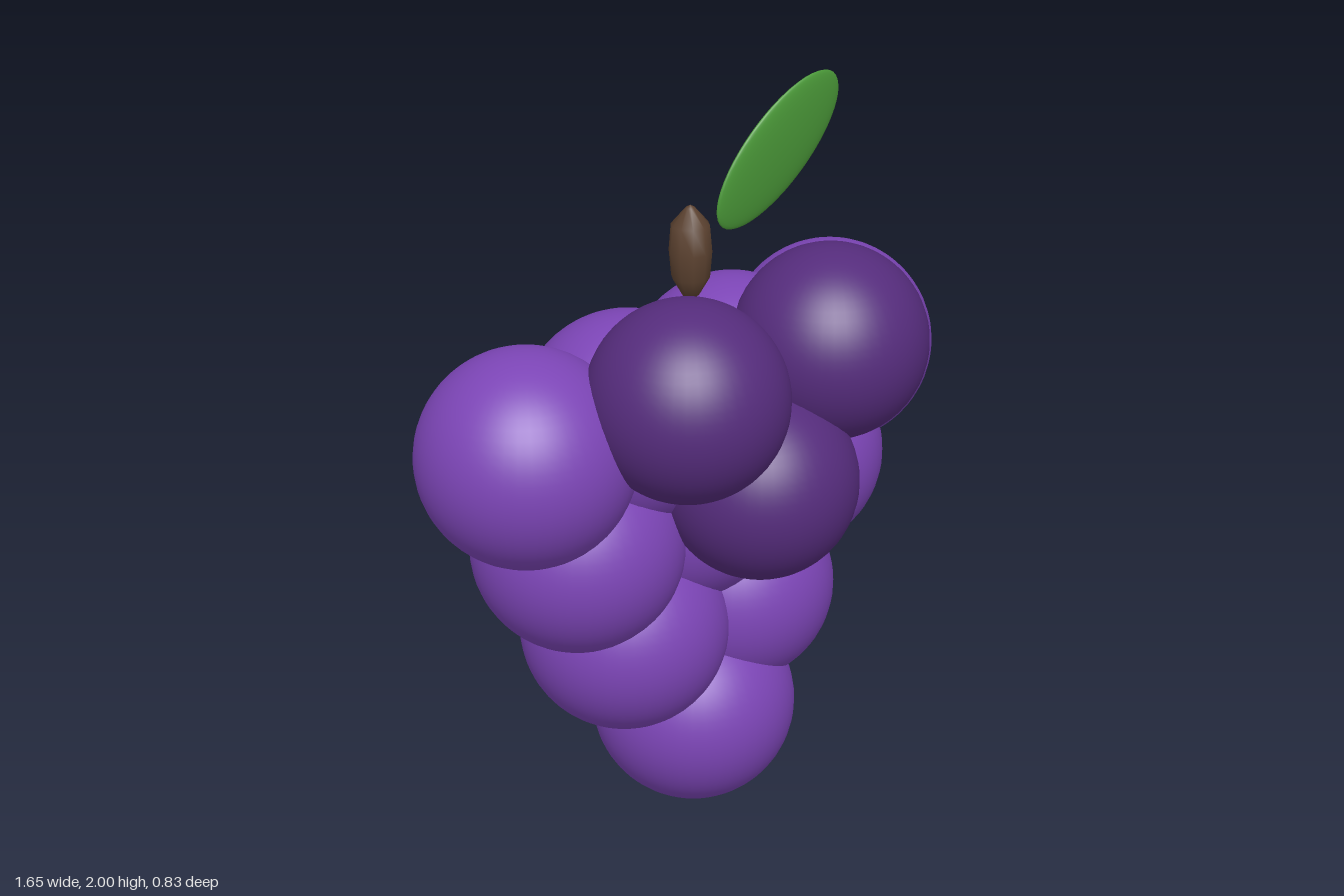
import * as THREE from 'three';

export function createModel() {
  const model = new THREE.Group();
  model.name = 'grapeBunch';

  const mat = (name, color) => {
    const m = new THREE.MeshStandardMaterial({ color });
    m.name = name;
    return m;
  };
  const purple = mat('grapePurple', 0x7c45b6);
  const darkPurple = mat('darkGrapePurple', 0x552c7c);
  const green = mat('leafGreen', 0x4a9838);
  const brown = mat('stemBrown', 0x5c4230);

  const addGrapes = (name, radius, material, centres) => {
    const geometry = new THREE.SphereGeometry(radius, 48, 32);
    const group = new THREE.Group();
    group.name = name;
    centres.forEach((c, i) => {
      const grape = new THREE.Mesh(geometry, material);
      grape.name = `${name}Grape${i + 1}`;
      grape.position.set(...c);
      group.add(grape);
    });
    model.add(group);
  };

  // Back layer: a triangle of four rows, widest at the top
  addGrapes('back', 0.278, purple, [
    [0.017, 0.278, -0.1],
    [-0.205, 0.588, -0.133], [0.175, 0.583, -0.108],
    [-0.363, 0.888, -0.133], [0.005, 0.9, -0.127], [0.37, 0.913, -0.115],
    [-0.548, 1.212, -0.107], [-0.195, 1.2, -0.118], [0.18, 1.195, -0.116], [0.545, 1.188, -0.103],
  ]);

  // Front layer: three smaller, darker grapes
  addGrapes('front', 0.255, darkPurple, [
    [-0.253, 1.357, 0.16], [0.259, 1.357, 0.16], [0.004, 1.047, 0.16],
  ]);

  // Stem: a short tapered stub
  const profile = [[0, -0.122], [0.022, -0.12], [0.05, -0.07], [0.056, 0], [0.05, 0.07], [0.012, 0.115], [0, 0.122]];
  const stem = new THREE.Mesh(
    new THREE.LatheGeometry(profile.map(([r, y]) => new THREE.Vector2(r, y)), 10), brown);
  stem.name = 'stem';
  stem.position.set(0.004, 1.607, -0.09);
  model.add(stem);

  // Leaf: a flattened ellipsoid, slanted up and leaning forward
  const leafGeometry = new THREE.SphereGeometry(1, 40, 24);
  leafGeometry.scale(0.25, 0.122, 0.02);
  leafGeometry.rotateZ(0.67);
  leafGeometry.rotateX(0.09);
  const leaf = new THREE.Mesh(leafGeometry, green);
  leaf.name = 'leaf';
  leaf.position.set(0.27, 1.819, -0.042);
  model.add(leaf);

  return model;
}
